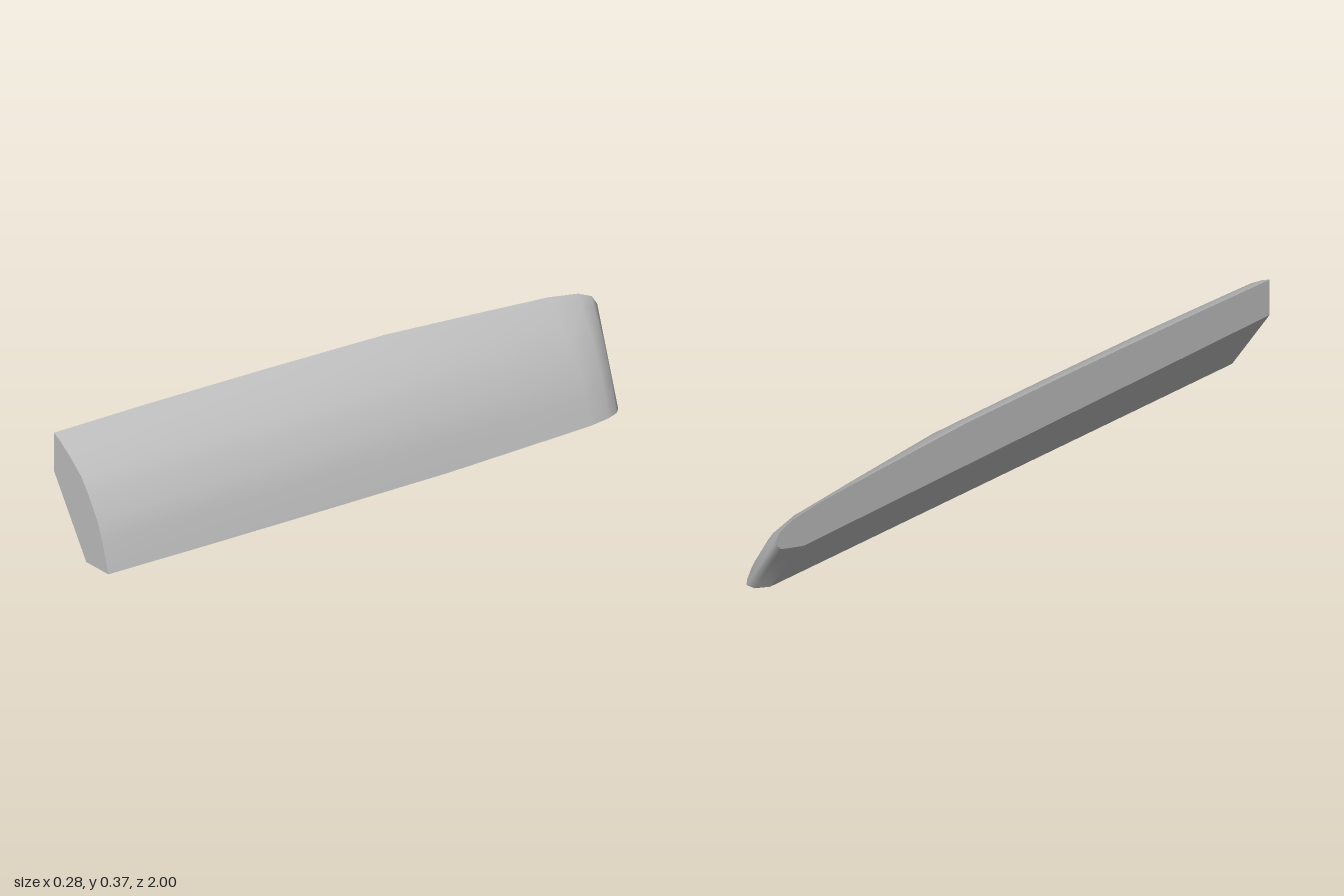
import * as THREE from 'three';

// Outer curve at full size, rim line at the tapered end, and inner edge line
const outer = [[-0.14, 0.362], [-0.113, 0.35], [-0.06, 0.315], [0, 0.268], [0.04, 0.216],
  [0.08, 0.153], [0.105, 0.095], [0.135, 0]];
const last = outer.length - 1;
const line = (a, b, t) => a.map((v, i) => v + (b[i] - v) * t);
const rim = (t) => line([-0.14, 0.255], [0.055, 0], t);
const inner = (t) => line([-0.14, 0.2], [0, 0], t);

// Rows along the length: [z at top edge, z at bottom edge, taper toward rim, fold toward inner edge]
const rows = [
  [1, 1, 0, 0], [0.65, 0.65, -0.03, 0], [0.2, 0.2, -0.02, 0], [-0.22, -0.25, 0.02, 0],
  [-0.55, -0.55, 0.2, 0], [-0.82, -0.8, 0.36, 0], [-0.93, -0.87, 0.52, 0],
  [-0.98, -0.912, 0.72, 0], [-1, -0.935, 1, 0], [-0.975, -0.93, 1, 0.55], [-0.885, -0.89, 1, 1],
].map(([zTop, zBottom, taper, fold]) => outer.map((p, j) => {
  const t = j / last;
  const [x, y] = line(line(p, rim(t), taper), inner(t), fold);
  return [x, y, zTop + (zBottom - zTop) * t];
}));

// Curved shell lofted through the rows
function shellGeometry() {
  const index = [];
  const n = last + 1;
  for (let i = 0; i < rows.length - 1; i++) {
    for (let j = 0; j < last; j++) {
      const a = i * n + j, b = a + 1, c = a + n, d = c + 1;
      index.push(a, b, c, b, d, c);
    }
  }
  const g = new THREE.BufferGeometry();
  g.setAttribute('position', new THREE.Float32BufferAttribute(rows.flat(2), 3));
  g.setIndex(index);
  g.computeVertexNormals();
  return g;
}

// Flat polygon, triangulated in its own plane and wound to face outward
function flatGeometry(points, outward) {
  const n = new THREE.Vector3(...outward).normalize();
  const u = new THREE.Vector3(0, 0, 1);
  if (Math.abs(n.z) > 0.9) u.set(1, 0, 0);
  const v = new THREE.Vector3().crossVectors(n, u).normalize();
  const verts = points.map((p) => new THREE.Vector3(...p));
  const flat = verts.map((p) => new THREE.Vector2(p.dot(u), p.dot(v)));
  const position = [];
  for (const tri of THREE.ShapeUtils.triangulateShape(flat, [])) {
    const [a, b, c] = tri.map((k) => verts[k]);
    const facing = b.clone().sub(a).cross(c.clone().sub(a)).dot(n) > 0;
    for (const p of facing ? [a, b, c] : [a, c, b]) position.push(p.x, p.y, p.z);
  }
  const g = new THREE.BufferGeometry();
  g.setAttribute('position', new THREE.Float32BufferAttribute(position, 3));
  g.computeVertexNormals();
  return g;
}

export function createModel() {
  const group = new THREE.Group();
  group.name = 'curvedPanel';
  const grey = new THREE.MeshStandardMaterial({ color: 0xc0c0c0 });
  grey.name = 'lightGrey';
  const add = (name, geometry) => {
    const mesh = new THREE.Mesh(geometry, grey);
    mesh.name = name;
    group.add(mesh);
  };

  // Inner edge corners at the front and back ends
  const frontTop = [-0.14, 0.24, 1], frontBottom = [0.024, 0, 1];
  const backRow = rows[rows.length - 1];

  add('outerShell', shellGeometry());
  add('frontFace', flatGeometry([...rows[0], frontBottom, frontTop], [0, 0, 1]));
  add('sideFace', flatGeometry([...rows.map((r) => r[0]), frontTop], [-1, 0, 0]));
  add('bottomFace', flatGeometry([...rows.map((r) => r[last]), frontBottom], [0, -1, 0]));
  add('innerFace', flatGeometry([frontTop, frontBottom, backRow[last], backRow[0]], [-0.82, -0.57, 0]));
  return group;
}
